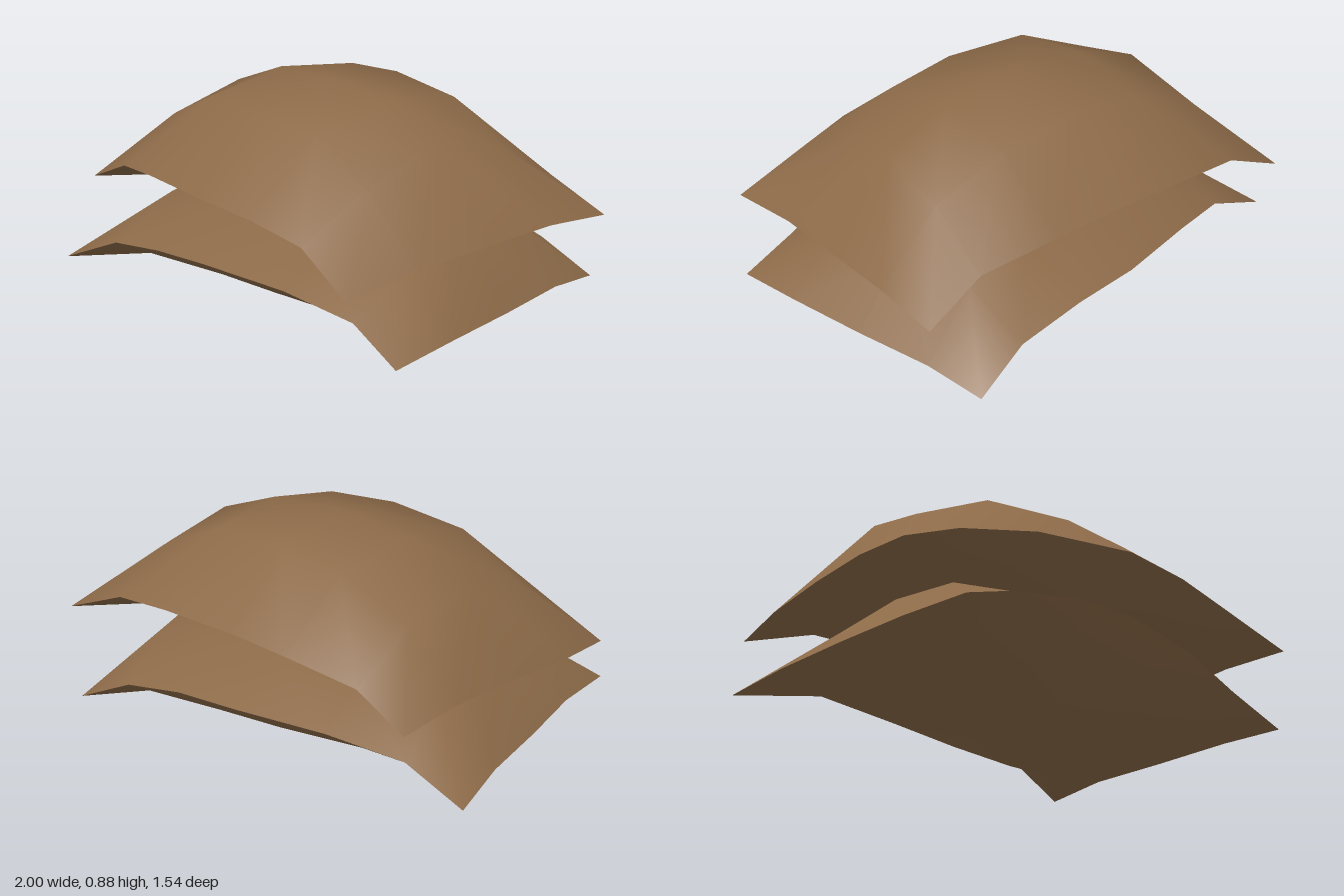
import * as THREE from 'three';

const lerp = THREE.MathUtils.lerp;
const COLS = 6, ROWS = 4;

// Blend four seam edges into a grid point (Coons patch): i runs left to right, j front to back
function patch(e, i, j) {
  const u = i / COLS, v = j / ROWS;
  return [0, 1, 2].map((k) => {
    const across = lerp(e.front[i][k], e.back[i][k], v);
    const along = lerp(e.left[j][k], e.right[j][k], u);
    const corners = lerp(
      lerp(e.front[0][k], e.front[COLS][k], u),
      lerp(e.back[0][k], e.back[COLS][k], u), v);
    return across + along - corners;
  });
}

// One smooth panel of a bag: the seam is its rim, heights[row][col] lifts the inside
function panel(edges, heights, faceUp) {
  const pos = [], index = [];
  for (let j = 0; j <= ROWS; j++) {
    for (let i = 0; i <= COLS; i++) {
      const p = patch(edges, i, j);
      if (i > 0 && i < COLS && j > 0 && j < ROWS) p[1] = heights[j - 1][i - 1];
      pos.push(...p);
    }
  }
  for (let j = 0; j < ROWS; j++) {
    for (let i = 0; i < COLS; i++) {
      const a = j * (COLS + 1) + i, b = a + 1, d = a + COLS + 1, c = d + 1;
      // diagonals run towards the corners of the bag
      const split = (i < COLS / 2) === (j < ROWS / 2);
      const tris = split ? [a, b, c, a, c, d] : [a, b, d, b, c, d];
      for (let t = 0; t < 6; t += 3) {
        if (faceUp) index.push(tris[t], tris[t + 1], tris[t + 2]);
        else index.push(tris[t], tris[t + 2], tris[t + 1]);
      }
    }
  }
  const g = new THREE.BufferGeometry();
  g.setAttribute('position', new THREE.Float32BufferAttribute(pos, 3));
  g.setIndex(index);
  g.computeVertexNormals();
  return g;
}

// A stuffed bag: top and bottom panels meeting at a sharp seam
function makeBag(name, edges, top, bottom, material) {
  const bag = new THREE.Group();
  bag.name = name;
  const parts = [['topPanel', top, true], ['bottomPanel', bottom, false]];
  for (const [part, heights, up] of parts) {
    const mesh = new THREE.Mesh(panel(edges, heights, up), material);
    mesh.name = part;
    bag.add(mesh);
  }
  return bag;
}

export function createModel() {
  const burlap = new THREE.MeshStandardMaterial({ color: 0x8c6a48 });
  burlap.name = 'brown burlap';

  // Seams: front and back run left to right, sides run front to back
  const lowerSeam = {
    front: [[-0.87, 0.05, 0.77], [-0.61, 0.165, 0.7], [-0.28, 0.225, 0.73], [0, 0.24, 0.72],
      [0.4, 0.22, 0.65], [0.72, 0.16, 0.58], [0.97, 0.05, 0.6]],
    back: [[-1, 0.05, -0.58], [-0.72, 0.16, -0.56], [-0.4, 0.22, -0.64], [0, 0.24, -0.71],
      [0.3, 0.225, -0.7], [0.6, 0.165, -0.675], [0.85, 0.05, -0.7]],
    left: [[-0.87, 0.05, 0.77], [-0.89, 0.08, 0.42], [-0.93, 0.08, 0.08], [-0.96, 0.08, -0.28], [-1, 0.05, -0.58]],
    right: [[0.97, 0.05, 0.6], [0.97, 0.08, 0.28], [0.93, 0.08, -0.08], [0.88, 0.08, -0.43], [0.85, 0.05, -0.7]],
  };
  const upperSeam = {
    front: [[-0.98, 0.34, 0.53], [-0.73, 0.45, 0.55], [-0.42, 0.5, 0.65], [0, 0.52, 0.73],
      [0.3, 0.5, 0.72], [0.56, 0.455, 0.7], [0.86, 0.33, 0.75]],
    back: [[-0.85, 0.4, -0.77], [-0.6, 0.505, -0.72], [-0.28, 0.56, -0.74], [0, 0.57, -0.71],
      [0.4, 0.55, -0.65], [0.72, 0.5, -0.57], [1, 0.39, -0.58]],
    left: [[-0.98, 0.34, 0.53], [-0.98, 0.37, 0.25], [-0.94, 0.4, -0.1], [-0.89, 0.42, -0.48], [-0.85, 0.4, -0.77]],
    right: [[0.86, 0.33, 0.75], [0.88, 0.37, 0.4], [0.93, 0.395, 0.05], [0.97, 0.41, -0.28], [1, 0.39, -0.58]],
  };

  // Inner heights, three rows from front to back
  const lowerTop = [
    [0.32, 0.36, 0.37, 0.36, 0.32],
    [0.355, 0.38, 0.39, 0.38, 0.355],
    [0.32, 0.36, 0.37, 0.36, 0.32]];
  const lowerBottom = [
    [0.035, 0.025, 0.025, 0.02, 0.03],
    [0.025, 0, 0.015, 0, 0.015],
    [0.035, 0.02, 0.025, 0.02, 0.03]];
  const upperTop = [
    [0.63, 0.78, 0.8, 0.78, 0.62],
    [0.73, 0.855, 0.88, 0.855, 0.74],
    [0.67, 0.81, 0.84, 0.81, 0.67]];
  const upperBottom = [
    [0.35, 0.355, 0.36, 0.35, 0.345],
    [0.365, 0.35, 0.36, 0.35, 0.36],
    [0.385, 0.375, 0.38, 0.375, 0.385]];

  const model = new THREE.Group();
  model.name = 'stackedBags';
  model.add(makeBag('lowerBag', lowerSeam, lowerTop, lowerBottom, burlap));
  model.add(makeBag('upperBag', upperSeam, upperTop, upperBottom, burlap));
  return model;
}
